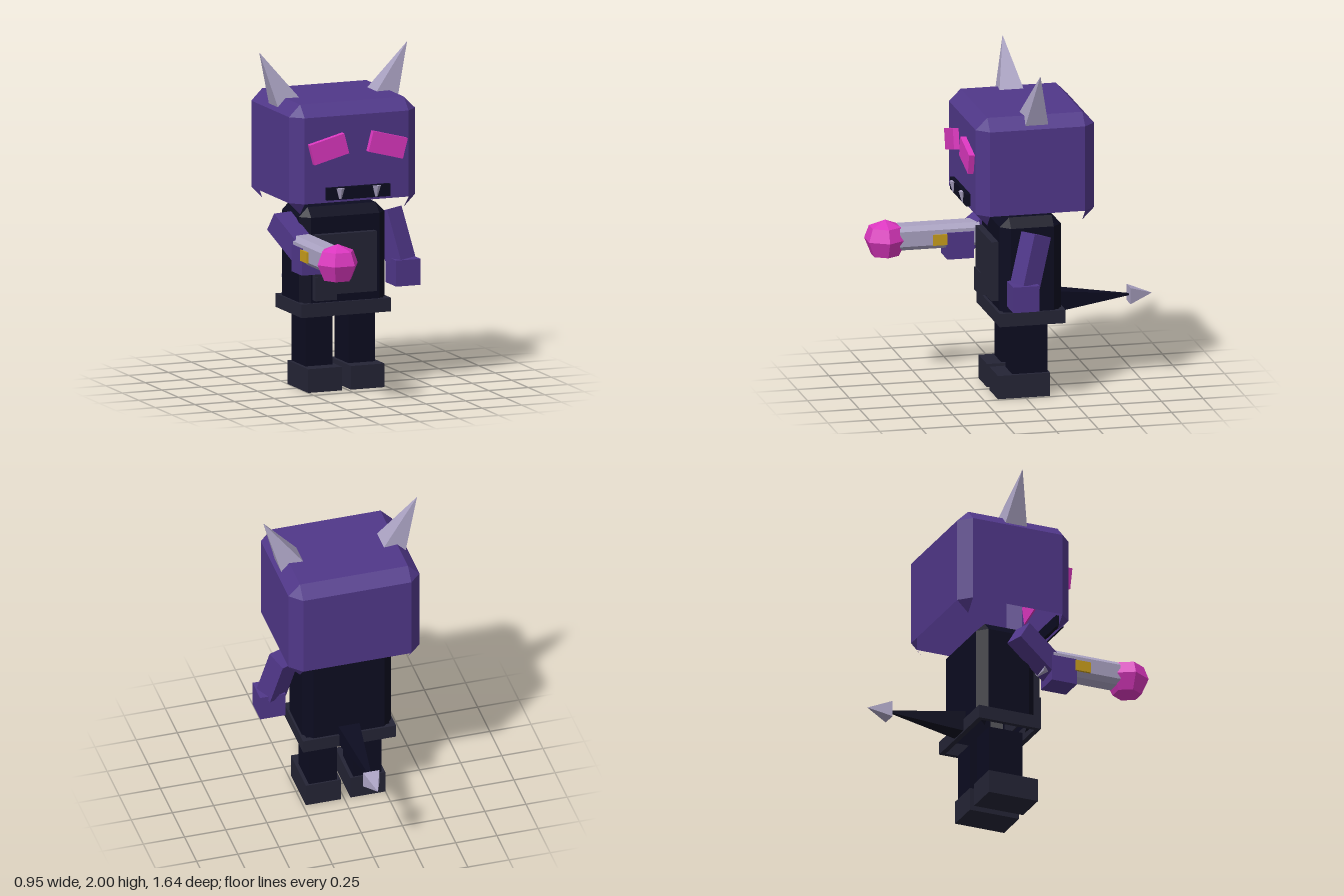
import * as THREE from 'three';

const mat = (name, color, open = false) => {
  const m = new THREE.MeshStandardMaterial({ color, flatShading: true });
  m.name = name;
  if (open) m.side = THREE.DoubleSide;
  return m;
};

// Chamfered block, open underneath, with small corner tips left hanging below the walls
function chamferedShell(w, d, top, bottom, b) {
  const u = w - b, v = d - b;
  const outer = [[-u, d], [u, d], [w, v], [w, -v], [u, -d], [-u, -d], [-w, -v], [-w, v]];
  const inner = [[-u, v], [u, v], [u, v], [u, -v], [u, -v], [-u, -v], [-u, -v], [-u, v]];
  const rings = [[inner, top], [outer, top - b], [outer, bottom + b], [inner, bottom]]
    .map(([pts, y]) => pts.map(([x, z]) => [x, y, z]));
  const pos = [];
  const tri = (...p) => p.forEach(q => pos.push(...q));
  for (let r = 0; r < 3; r++) {
    for (let i = 0; i < 8; i++) {
      const j = (i + 1) % 8;
      const corner = i % 2 === 1;
      if (r === 2 && !corner) continue;
      const a = rings[r][i], bb = rings[r][j], c = rings[r + 1][i], e = rings[r + 1][j];
      tri(a, c, bb);
      if (!(r === 2 && corner)) tri(bb, c, e);
    }
  }
  const t = rings[0];
  tri(t[0], t[1], t[3]);
  tri(t[0], t[3], t[5]);
  const g = new THREE.BufferGeometry();
  g.setAttribute('position', new THREE.Float32BufferAttribute(pos, 3));
  g.computeVertexNormals();
  return g;
}

// Square pyramid with flat sides facing x and z
const pyramid = (half, h) => new THREE.ConeGeometry(half * Math.SQRT2, h, 4).rotateY(Math.PI / 4);

export function createModel() {
  const purple = mat('purple skin', 0x503789, true);
  const pink = mat('pink glow', 0xdb37bf);
  const black = mat('black cloth', 0x0c0c20, true);
  const grey = mat('dark grey trim', 0x242435);
  const bone = mat('pale horn', 0xaaa2c2);
  const gold = mat('gold', 0xc79c1c);

  const model = new THREE.Group();
  model.name = 'hornedRobot';
  const add = (name, geo, m, x = 0, y = 0, z = 0) => {
    const mesh = new THREE.Mesh(geo, m);
    mesh.name = name;
    mesh.position.set(x, y, z);
    model.add(mesh);
    return mesh;
  };
  // Box given by its minimum and maximum on each axis
  const box = (name, m, x0, x1, y0, y1, z0, z1) =>
    add(name, new THREE.BoxGeometry(x1 - x0, y1 - y0, z1 - z0), m,
      (x0 + x1) / 2, (y0 + y1) / 2, (z0 + z1) / 2);
  // Square bar running from one point to another
  const bar = (name, m, from, to, width) => {
    const a = new THREE.Vector3(...from), b = new THREE.Vector3(...to);
    const mesh = add(name, new THREE.BoxGeometry(width, width, a.distanceTo(b)), m);
    mesh.position.copy(a).lerp(b, 0.5);
    mesh.lookAt(b);
    return mesh;
  };
  const cx = -0.008;

  // Head and face
  add('head', chamferedShell(0.398, 0.355, 1.73, 1.08, 0.07), purple, cx, 0, -0.035);
  for (const s of [-1, 1]) {
    const side = s > 0 ? 'left' : 'right';
    add(side + 'Eye', new THREE.BoxGeometry(0.224, 0.124, 0.045), pink, cx + s * 0.185, 1.472, 0.332)
      .rotation.z = -s * 0.256;
    add(side + 'Fang', new THREE.CylinderGeometry(0.028, 0.009, 0.065, 6), bone, cx + s * 0.114, 1.204, 0.342);

    // Horns lean outward, their bases sunk in the head
    const lean = 0.48, len = 0.38;
    add(side + 'Horn', pyramid(0.08, len), bone,
      cx + s * (0.467 - Math.sin(lean) * len / 2), 2 - Math.cos(lean) * len / 2, -0.035)
      .rotation.z = -s * lean;

    // Legs and feet
    const lx = cx + s * 0.135;
    box(side + 'Leg', black, lx - 0.085, lx + 0.085, 0.14, 0.43, -0.138, 0.074);
    box(side + 'Foot', grey, lx - 0.106, lx + 0.106, 0, 0.14, -0.148, 0.165);
  }
  box('mouth', black, -0.206, 0.195, 1.167, 1.24, 0.3, 0.346);

  // Torso with chest plates
  add('torso', chamferedShell(0.27, 0.183, 1.087, 0.437, 0.055), black, cx, 0, -0.035);
  box('chestPlate', grey, -0.216, 0.174, 0.578, 0.934, 0.14, 0.19);
  box('lowerChestPlate', grey, -0.216, -0.08, 0.546, 0.685, 0.14, 0.198);

  // Belt: a rectangular ring
  const rect = (C, w, d) => {
    const s = new C();
    s.moveTo(-w, -d);
    s.lineTo(w, -d);
    s.lineTo(w, d);
    s.lineTo(-w, d);
    s.closePath();
    return s;
  };
  const ring = rect(THREE.Shape, 0.283, 0.198);
  ring.holes.push(rect(THREE.Path, 0.255, 0.168));
  const belt = new THREE.ExtrudeGeometry(ring, { depth: 0.08, bevelEnabled: false });
  add('belt', belt.rotateX(-Math.PI / 2), grey, cx, 0.446, -0.033);

  // Left arm hangs, right arm reaches forward
  bar('leftArm', purple, [0.333, 1.01, -0.04], [0.387, 0.72, 0.04], 0.125)
    .geometry.rotateZ(0.17);
  box('leftHand', purple, 0.32, 0.475, 0.583, 0.737, -0.026, 0.132);
  bar('rightArm', purple, [-0.36, 1.0, -0.01], [-0.29, 0.83, 0.25], 0.125);
  box('rightHand', purple, -0.37, -0.211, 0.737, 0.897, 0.2, 0.36);

  // Blaster: chamfered barrel, gold band and faceted pink tip
  const h = 0.072, k = 0.045;
  const section = new THREE.Shape(
    [[h, -k], [h, k], [k, h], [-k, h], [-h, k], [-h, -k], [-k, -h], [k, -h]]
      .map(p => new THREE.Vector2(...p)));
  add('blasterBarrel', new THREE.ExtrudeGeometry(section, { depth: 0.48, bevelEnabled: false }),
    bone, -0.293, 0.872, 0.16);
  box('blasterBand', gold, -0.378, -0.213, 0.825, 0.89, 0.35, 0.445);
  const orb = [[0, -0.1], [0.085, -0.1], [0.127, -0.005], [0.098, 0.072], [0, 0.112]]
    .map(p => new THREE.Vector2(...p));
  add('blasterTip', new THREE.LatheGeometry(orb, 6, Math.PI / 6), pink, -0.293, 0.869, 0.714);

  // Tail with arrow point
  const tail = (name, half, z0, z1, m) =>
    add(name, pyramid(half, z0 - z1).rotateX(-Math.PI / 2), m, cx, 0.516, (z0 + z1) / 2);
  tail('tail', 0.066, -0.2, -0.72, black);
  tail('tailPoint', 0.049, -0.677, -0.817, bone);

  return model;
}
